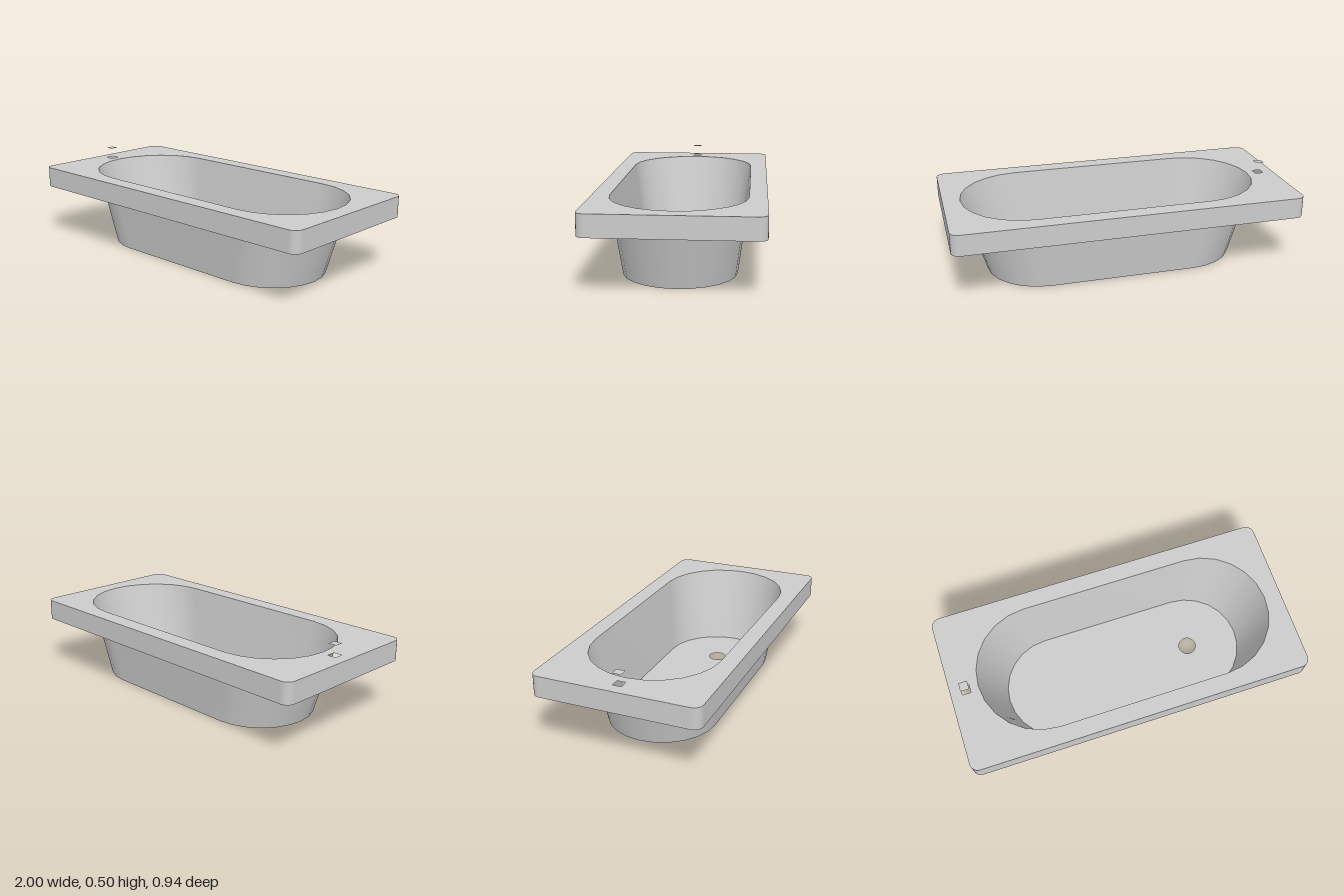
import * as THREE from 'three';

const material = new THREE.MeshStandardMaterial({ color: 0xcccccc, side: THREE.DoubleSide });

// Outline with two half-round ends, centres at x0 and x1
function stadium(x0, x1, r, steps = 12) {
  const points = [];
  for (const [cx, start] of [[x1, -Math.PI / 2], [x0, Math.PI / 2]]) {
    for (let i = 0; i <= steps; i++) {
      const a = start + (Math.PI * i) / steps;
      points.push(new THREE.Vector2(cx + r * Math.cos(a), r * Math.sin(a)));
    }
  }
  return points;
}

// Rectangle outline with rounded corners
function roundedRect(halfX, halfZ, r, steps = 6) {
  const points = [];
  [[1, 1], [-1, 1], [-1, -1], [1, -1]].forEach(([sx, sz], corner) => {
    for (let i = 0; i <= steps; i++) {
      const a = (Math.PI / 2) * (corner + i / steps);
      points.push(new THREE.Vector2(sx * (halfX - r) + r * Math.cos(a), sz * (halfZ - r) + r * Math.sin(a)));
    }
  });
  return points;
}

function circle(x, r, steps = 24) {
  return Array.from({ length: steps }, (_, i) => {
    const a = (2 * Math.PI * i) / steps;
    return new THREE.Vector2(x + r * Math.cos(a), r * Math.sin(a));
  });
}

function square(x, h) {
  return [[-h, -h], [h, -h], [h, h], [-h, h]].map(([dx, dz]) => new THREE.Vector2(x + dx, dz));
}

// Flat horizontal sheet with holes
function sheet(name, outline, holes, y) {
  const shape = new THREE.Shape(outline);
  shape.holes = holes.map((points) => new THREE.Path(points));
  const mesh = new THREE.Mesh(new THREE.ShapeGeometry(shape).rotateX(-Math.PI / 2), material);
  mesh.position.y = y;
  mesh.name = name;
  return mesh;
}

// Outward-facing wall between two outlines with matching points
function wall(name, lower, yLower, upper, yUpper) {
  const n = lower.length;
  const positions = [];
  const index = [];
  lower.forEach((p) => positions.push(p.x, yLower, -p.y));
  upper.forEach((p) => positions.push(p.x, yUpper, -p.y));
  for (let i = 0; i < n; i++) {
    const j = (i + 1) % n;
    index.push(i, j, n + j, i, n + j, n + i);
  }
  const geometry = new THREE.BufferGeometry();
  geometry.setAttribute('position', new THREE.Float32BufferAttribute(positions, 3));
  geometry.setIndex(index);
  geometry.computeVertexNormals();
  const mesh = new THREE.Mesh(geometry, material);
  mesh.name = name;
  return mesh;
}

export function createModel() {
  const model = new THREE.Group();
  model.name = 'bathtub';

  const rimY = 0.44;
  const rim = roundedRect(1, 0.47, 0.05);
  const mouth = stadium(-0.465, 0.53, 0.372);
  const floor = stadium(-0.39, 0.455, 0.315);
  const tapX = -0.91;

  model.add(
    // Rim with its skirt, open underneath
    sheet('rim', rim, [mouth, square(tapX, 0.025)], rimY),
    wall('skirt', rim, 0.32, rim, rimY),
    // Thin basin tapering to the floor, with a drain hole
    wall('basinWall', floor, 0, mouth, rimY),
    sheet('basinFloor', floor, [circle(0.455, 0.052)], 0),
    // Small plate hovering over the tap hole
    sheet('tapPlate', square(tapX, 0.025), [], 0.505),
  );
  return model;
}
